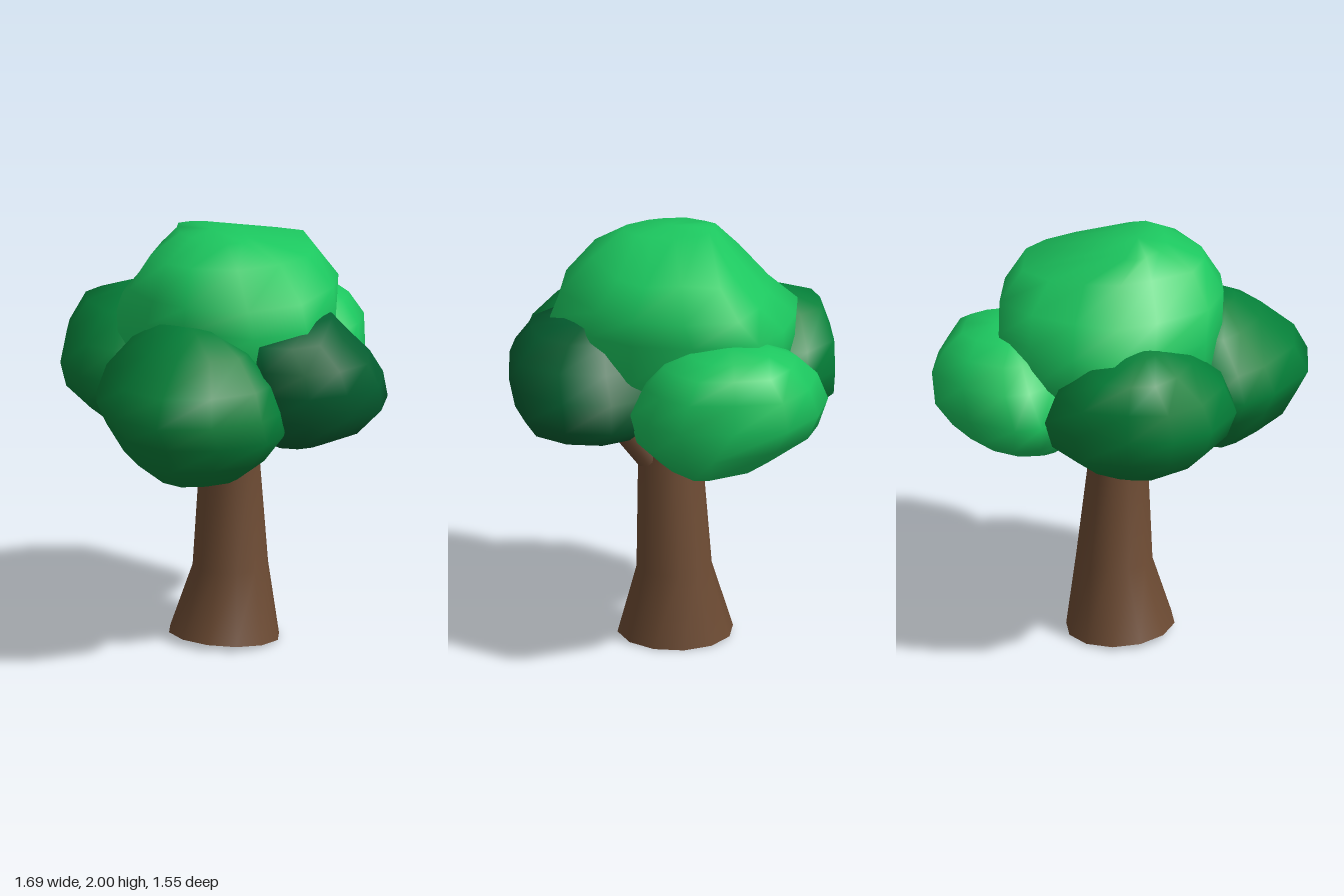
import * as THREE from 'three';
import { toCreasedNormals } from 'three/addons/utils/BufferGeometryUtils.js';

const flat = (name, color) => Object.assign(new THREE.MeshStandardMaterial({ color }), { name });

const circle = (n) => Array.from({ length: n }, (_, i) => {
  const a = (i / n) * Math.PI * 2;
  return [Math.cos(a), Math.sin(a)];
});

// Loft a plan outline (unit box, running from +x towards +z) through rings listed top to
// bottom as [y, xMin, xMax, zMin, zMax, ownPlan?]. No bottomY leaves the foot open.
function loft(rings, plan, topY, bottomY) {
  const pos = [], index = [], n = plan.length;
  const mid = (r) => [(r[1] + r[2]) / 2, (r[3] + r[4]) / 2];
  for (const r of rings) {
    const [cx, cz] = mid(r);
    for (const [px, pz] of r[5] ?? plan) {
      pos.push(cx + px * (r[2] - r[1]) / 2, r[0], cz + pz * (r[4] - r[3]) / 2);
    }
  }
  const top = rings.length * n, lastRow = top - n;
  const [tx, tz] = mid(rings[0]), [bx, bz] = mid(rings[rings.length - 1]);
  pos.push(tx, topY, tz);
  if (bottomY !== undefined) pos.push(bx, bottomY, bz);
  for (let i = 0; i < n; i++) {
    const j = (i + 1) % n;
    index.push(top, j, i);
    if (bottomY !== undefined) index.push(top + 1, lastRow + i, lastRow + j);
    for (let k = 0; k < lastRow; k += n) {
      index.push(k + i, k + j, k + n + j, k + i, k + n + j, k + n + i);
    }
  }
  const geo = new THREE.BufferGeometry();
  geo.setAttribute('position', new THREE.Float32BufferAttribute(pos, 3));
  geo.setIndex(index);
  return geo;
}

export function createModel() {
  const tree = new THREE.Group();
  tree.name = 'tree';
  const bark = flat('bark brown', 0x6d4b33);
  bark.side = THREE.DoubleSide;
  const bright = flat('bright leaf green', 0x1cc75f);
  const middle = flat('middle leaf green', 0x058039);
  const dark = flat('dark leaf green', 0x045f31);

  const add = (name, geo, mat, crease = 3) => {
    const mesh = new THREE.Mesh(toCreasedNormals(geo, crease), mat);
    mesh.name = name;
    tree.add(mesh);
    return mesh;
  };

  // Flared hollow trunk, its foot cut at a slight slant
  const trunk = loft([
    [1.12, -0.1, 0.14, -0.12, 0.14],
    [0.87, -0.115, 0.16, -0.15, 0.155],
    [0.35, -0.14, 0.22, -0.19, 0.165],
    [0.02, -0.245, 0.265, -0.295, 0.25],
  ], circle(12), 1.12);
  const p = trunk.attributes.position;
  for (let i = 0; i < p.count; i++) {
    if (p.getY(i) < 0.1) p.setY(i, 0.016 - 0.06 * p.getX(i));
  }
  add('trunk', trunk, bark, 1.1);

  // Short branches reaching into the crown
  const branches = {
    frontBranch: [0.05, 0.09, 0.05, 0.36],
    backBranch: [0, -0.08, -0.05, -0.34],
    leftBranch: [0.09, -0.05, 0.35, -0.1],
    rightBranch: [-0.05, 0.03, -0.33, 0.1],
  };
  const up = new THREE.Vector3(0, 1, 0);
  for (const [name, [x0, z0, x1, z1]] of Object.entries(branches)) {
    const from = new THREE.Vector3(x0, 0.9, z0), to = new THREE.Vector3(x1, 1.25, z1);
    const dir = to.clone().sub(from);
    const mesh = add(name, new THREE.CylinderGeometry(0.08, 0.08, dir.length(), 6), bark, 1.1);
    mesh.position.copy(from).add(to).multiplyScalar(0.5);
    mesh.quaternion.setFromUnitVectors(up, dir.normalize());
  }

  // Leaf masses, each with its own uneven plan outline
  const topMass = loft([
    [1.985, -0.2, 0.06, -0.23, 0.21],
    [1.9, -0.38, 0.46, -0.33, 0.37],
    [1.735, -0.47, 0.56, -0.47, 0.52],
    [1.61, -0.47, 0.55, -0.61, 0.57],
    [1.42, -0.46, 0.53, -0.6, 0.565],
    [1.25, -0.38, 0.44, -0.48, 0.47],
  ], [
    [1, 0], [0.83, 0.47], [0.53, 0.76], [-0.05, 1], [-0.57, 0.86], [-0.92, 0.37], [-1, 0],
    [-0.92, -0.44], [-0.5, -0.8], [-0.17, -1], [0.24, -0.93], [0.65, -0.78], [0.98, -0.53],
  ], 2, 1.15);
  // The crest leans back, so its front and left shoulder sit lower
  const q = topMass.attributes.position;
  for (let i = 0; i < q.count; i++) {
    if (q.getY(i) > 1.8) q.setY(i, q.getY(i) - 0.12 * Math.max(0, q.getX(i)) * Math.abs(q.getZ(i)) / 0.3);
  }
  add('topFoliage', topMass, bright);

  add('rightFoliage', loft([
    [1.63, -0.5, -0.28, 0.04, 0.32],
    [1.54, -0.62, -0.14, -0.1, 0.5],
    [1.4, -0.78, -0.02, -0.19, 0.62],
    [1.27, -0.845, 0.02, -0.22, 0.67],
    [1.16, -0.79, 0.02, -0.2, 0.68],
    [1.03, -0.72, -0.06, -0.1, 0.58],
    [0.915, -0.57, -0.17, 0.05, 0.42],
  ], [
    [1, 0], [0.95, 0.49], [0.49, 0.89], [0.14, 1], [-0.44, 0.85], [-0.91, 0.49],
    [-1, -0.09], [-0.72, -0.69], [-0.44, -1], [-0.07, -1], [0.49, -0.93], [0.84, -0.6],
  ], 1.65, 0.905), middle);

  add('frontFoliage', loft([
    [1.635, 0.04, 0.28, 0.25, 0.53],
    [1.57, -0.22, 0.34, 0.12, 0.66],
    [1.46, -0.24, 0.44, 0.05, 0.765],
    [1.34, -0.24, 0.53, 0.02, 0.775],
    [1.21, -0.22, 0.57, 0.05, 0.75],
    [1.1, -0.16, 0.41, 0.14, 0.68],
    [1.035, -0.05, 0.23, 0.24, 0.54],
  ], [
    [0.98, -0.1], [0.83, 0.5], [0.38, 0.96], [-0.16, 1], [-0.65, 0.85], [-1, 0.4],
    [-0.97, -0.2], [-0.65, -0.8], [-0.15, -1], [0.35, -0.95], [0.8, -0.6],
  ], 1.65, 1.02), dark);

  // The lower half swings forward
  const swung = [
    [1, 0.3], [0.96, 0.58], [0.49, 0.87], [0.08, 1], [-0.6, 0.85], [-0.95, 0.4],
    [-1, -0.1], [-0.8, -0.62], [-0.5, -0.9], [-0.16, -1], [0.3, -0.83], [0.75, -0.4],
  ];
  add('leftFoliage', loft([
    [1.59, 0.4, 0.72, -0.4, 0],
    [1.53, 0.28, 0.79, -0.52, 0.12],
    [1.43, 0.2, 0.845, -0.62, 0.21],
    [1.28, 0.12, 0.825, -0.68, 0.27],
    [1.15, 0.13, 0.84, -0.63, 0.24, swung],
    [1.03, 0.2, 0.75, -0.42, 0.12, swung],
    [0.97, 0.26, 0.56, -0.28, 0, swung],
  ], [
    [1, 0.07], [0.9, 0.6], [0.49, 0.87], [0.08, 1], [-0.6, 0.85], [-0.95, 0.4],
    [-1, -0.1], [-0.8, -0.62], [-0.5, -0.9], [-0.16, -1], [0.49, -0.83], [1, -0.47],
  ], 1.61, 0.95), bright);

  add('backFoliage', loft([
    [1.635, -0.24, -0.04, -0.56, -0.3],
    [1.57, -0.38, 0.08, -0.73, -0.16],
    [1.44, -0.53, 0.23, -0.775, -0.05],
    [1.3, -0.585, 0.285, -0.775, -0.02],
    [1.18, -0.54, 0.25, -0.77, -0.04],
    [1.07, -0.43, 0.14, -0.65, -0.12],
    [0.99, -0.28, 0, -0.52, -0.24],
  ], [
    [1, 0.1], [0.7, 0.7], [0.2, 1], [-0.35, 1], [-0.9, 0.5], [-1, 0.08],
    [-0.81, -0.53], [-0.44, -0.92], [0.05, -1], [0.63, -0.96], [1, -0.55],
  ], 1.66, 0.95), middle);

  return tree;
}
